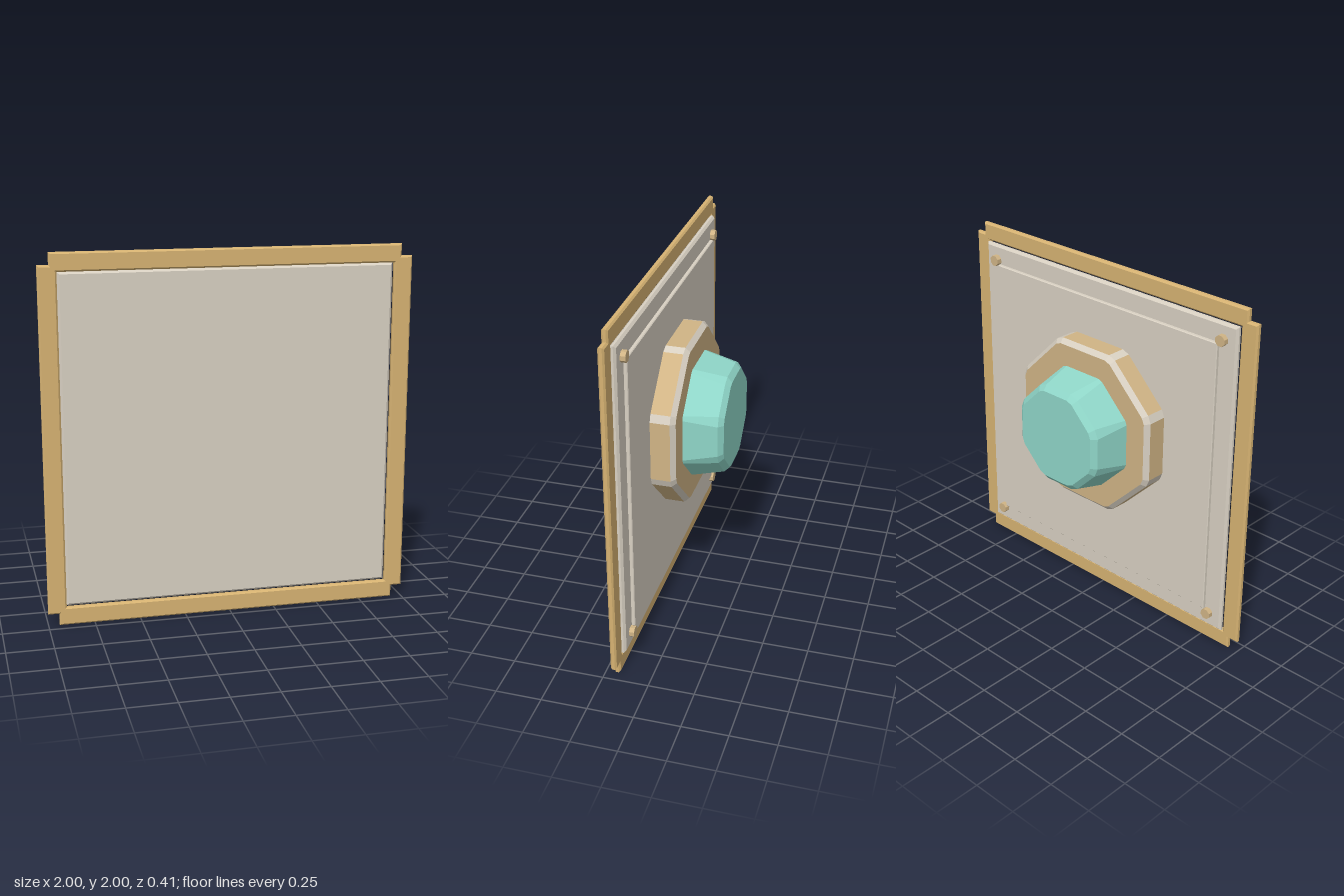
import * as THREE from 'three';

const mat = (name, color) => {
  const m = new THREE.MeshStandardMaterial({ color, flatShading: true });
  m.name = name;
  return m;
};

// Rectangle outline from corner coordinates
function rect(x, y0, y1, Type = THREE.Shape) {
  return new Type([[-x, y0], [x, y0], [x, y1], [-x, y1]].map(p => new THREE.Vector2(...p)));
}

// Flat slab between two depths, with chamfered rims inside the outline
function slab(name, shape, z0, z1, bevel, material) {
  const geo = new THREE.ExtrudeGeometry(shape, {
    depth: z1 - z0 - 2 * bevel, bevelEnabled: true, bevelSegments: 1,
    bevelSize: bevel, bevelThickness: bevel, bevelOffset: -bevel,
  });
  geo.translate(0, 0, z0 + bevel);
  const mesh = new THREE.Mesh(geo, material);
  mesh.name = name;
  return mesh;
}

// Octagon with clipped corners, counter-clockwise: even edges are flats, odd ones clips
function ring(apothem, clip, z) {
  const half = apothem * Math.tan(Math.PI / 8) - clip;
  const pts = [];
  for (let k = 0; k < 8; k++) {
    const c = Math.cos(k * Math.PI / 4), s = Math.sin(k * Math.PI / 4);
    for (const h of [-half, half]) pts.push([apothem * c - h * s, apothem * s + h * c, z]);
  }
  return pts;
}

// Closed loft through rings from front to back; material 0 = faces, 1 = chamfers
function loft(name, rings, chamferStep, materials) {
  const faces = [[], []];
  for (let i = 0; i < rings.length - 1; i++) {
    const A = rings[i], B = rings[i + 1];
    for (let j = 0; j < 16; j++) {
      const n = (j + 1) % 16;
      const f = faces[j % 2 || i === chamferStep ? 1 : 0];
      f.push(B[j], B[n], A[n], B[j], A[n], A[j]);
    }
  }
  const front = rings[0], back = rings[rings.length - 1];
  for (let j = 1; j < 15; j++) {
    faces[0].push(front[0], front[j], front[j + 1], back[0], back[j + 1], back[j]);
  }
  const geo = new THREE.BufferGeometry();
  geo.setAttribute('position', new THREE.Float32BufferAttribute(faces.flat(2), 3));
  geo.addGroup(0, faces[0].length, 0);
  geo.addGroup(faces[0].length, faces[1].length, 1);
  geo.computeVertexNormals();
  const mesh = new THREE.Mesh(geo, materials);
  mesh.name = name;
  return mesh;
}

export function createModel() {
  const model = new THREE.Group();
  model.name = 'wallPanelWithKnob';
  const gold = mat('gold trim', 0xd6b272);
  const grey = mat('warm grey panel', 0xd8d0c2);
  const tan = mat('tan fitting', 0xd0b485);
  const teal = mat('teal knob', 0x8fd6c8);

  // Trim frame with notched corners
  const a = 0.94, b = 0.065;
  const outline = new THREE.Shape([
    [-a, 0], [a, 0], [a, b], [1, b], [1, 2 - b], [a, 2 - b],
    [a, 2], [-a, 2], [-a, 2 - b], [-1, 2 - b], [-1, b], [-a, b],
  ].map(p => new THREE.Vector2(...p)));
  outline.holes.push(rect(0.9, 0.1, 1.9, THREE.Path));
  model.add(slab('trimFrame', outline, 0.172, 0.206, 0.009, gold));

  // Main panel and the raised plate on its back
  model.add(slab('panel', rect(0.898, 0.102, 1.898), 0.152, 0.188, 0.012, grey));
  model.add(slab('backPlate', rect(0.79, 0.21, 1.79), 0.133, 0.165, 0.004, grey));

  // Pegs at the corners of the back plate
  for (const x of [-0.812, 0.812]) {
    for (const y of [0.188, 1.812]) {
      const peg = new THREE.Mesh(new THREE.CylinderGeometry(0.031, 0.031, 0.036, 8), tan);
      peg.geometry.rotateY(Math.PI / 8).rotateX(Math.PI / 2);
      peg.position.set(x, y, 0.142);
      peg.name = 'cornerPeg';
      model.add(peg);
    }
  }

  // Octagonal base with pale chamfers, and the tapered knob on it
  const base = loft('knobBase',
    [ring(0.468, 0.025, 0.14), ring(0.468, 0.025, 0.026), ring(0.443, 0.02, 0.001)], 1, [tan, grey]);
  const knob = loft('knob',
    [ring(0.324, 0.014, 0.005), ring(0.286, 0.03, -0.18), ring(0.256, 0.02, -0.206)], 1, [teal, teal]);
  for (const part of [base, knob]) {
    part.position.y = 1.1;
    model.add(part);
  }
  return model;
}
